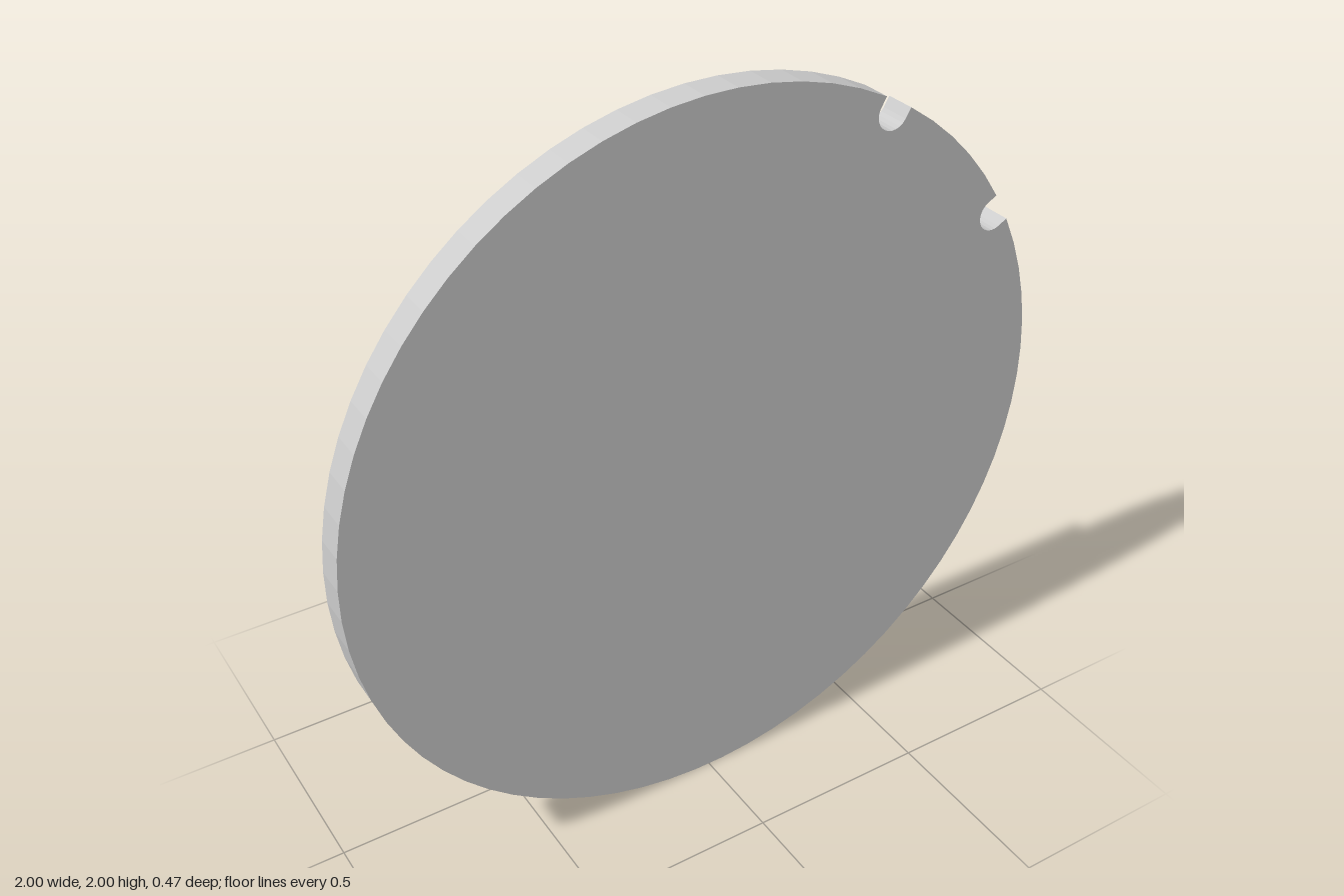
import * as THREE from 'three';

const material = new THREE.MeshStandardMaterial({ color: 0xcccccc, flatShading: true });

function addMesh(group, name, geometry, x, y, z) {
  const mesh = new THREE.Mesh(geometry, material);
  mesh.name = name;
  mesh.position.set(x, y, z);
  group.add(mesh);
}

// Round outline with round-bottomed notches cut into the rim
function discShape(notchAngles, notchRadius, notchCentre) {
  const points = [];
  const half = Math.asin(notchRadius);
  const polar = (a) => points.push(new THREE.Vector2(Math.cos(a), Math.sin(a)));
  const step = (Math.PI * 2) / 72;
  notchAngles.forEach((a, i) => {
    // Notch: semicircle around its centre, opening outwards
    polar(a - half);
    for (let k = 0; k <= 12; k++) {
      const t = (k / 12) * Math.PI;
      const u = notchCentre - notchRadius * Math.sin(t);
      const v = -notchRadius * Math.cos(t);
      points.push(new THREE.Vector2(
        u * Math.cos(a) - v * Math.sin(a),
        u * Math.sin(a) + v * Math.cos(a)));
    }
    // Rim up to the next notch
    const last = i === notchAngles.length - 1;
    const end = (last ? notchAngles[0] + Math.PI * 2 : notchAngles[i + 1]) - half;
    const start = a + half;
    const n = Math.ceil((end - start) / step);
    for (let k = 0; k < n; k++) polar(start + ((end - start) * k) / n);
  });
  return new THREE.Shape(points);
}

function rectangle(Type, x0, y0, x1, y1) {
  return new Type([[x0, y0], [x1, y0], [x1, y1], [x0, y1]].map((p) => new THREE.Vector2(...p)));
}

export function createModel() {
  const group = new THREE.Group();
  group.name = 'notchedDisc';

  // Notched disc
  const disc = discShape([Math.PI / 6, Math.PI / 3], 0.044, 0.97);
  addMesh(group, 'disc', new THREE.ExtrudeGeometry(disc, { depth: 0.083, bevelEnabled: false }), 0, 1, 0.152);

  // Flat square panel on the back
  addMesh(group, 'panel', new THREE.BoxGeometry(0.684, 0.684, 0.086), 0.198, 1.003, 0.109);

  // Tall socket with a slot opening to the back
  const socket = rectangle(THREE.Shape, -0.583, 0.62, -0.37, 1.388);
  socket.holes.push(rectangle(THREE.Path, -0.54, 0.723, -0.469, 1.285));
  addMesh(group, 'socket', new THREE.ExtrudeGeometry(socket, { depth: 0.387, bevelEnabled: false }), 0, 0, -0.235);

  return group;
}
